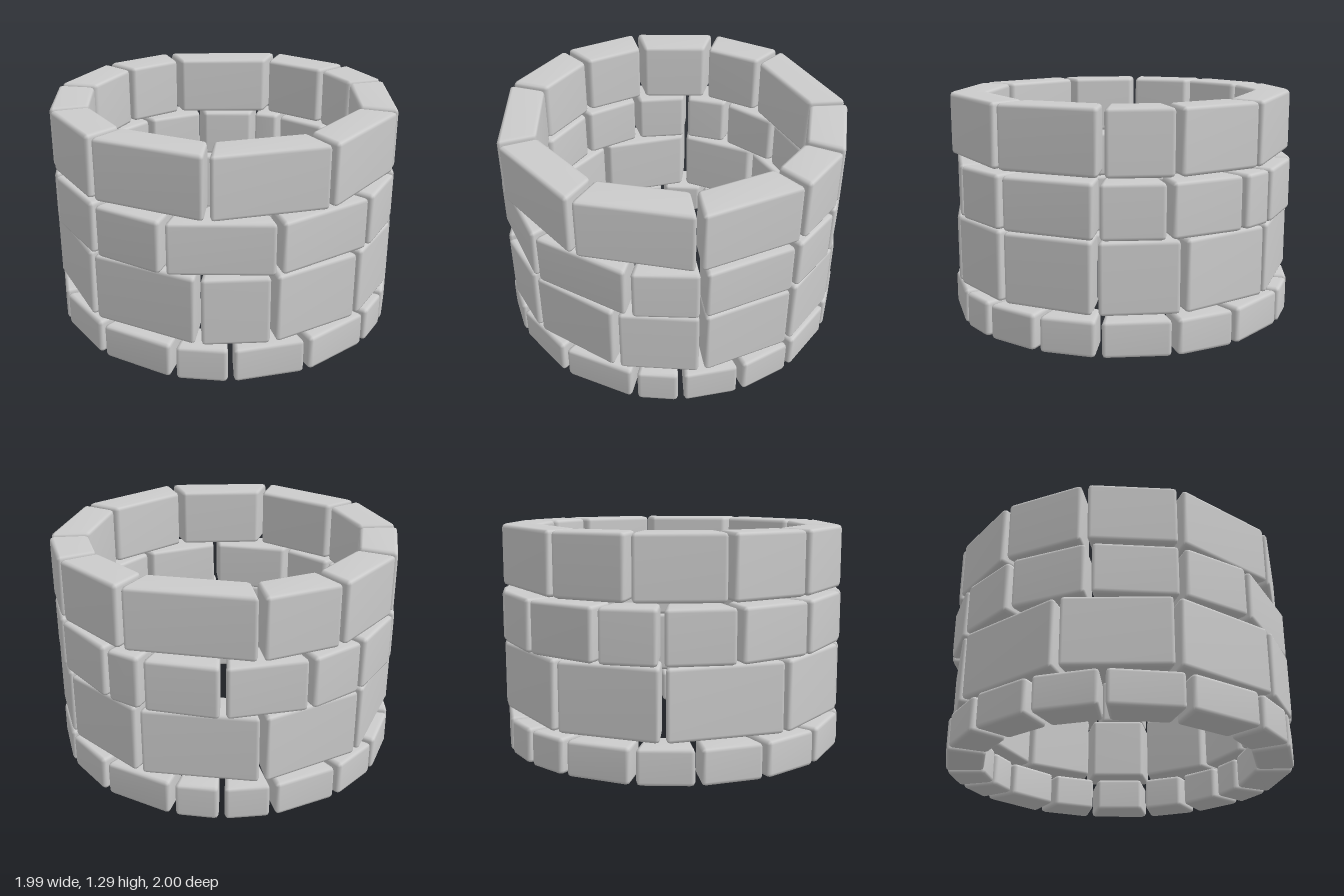
import * as THREE from 'three';
import { RoundedBoxGeometry } from 'three/addons/geometries/RoundedBoxGeometry.js';
import { mergeVertices } from 'three/addons/utils/BufferGeometryUtils.js';

const OUTER = 1.005, INNER = 0.785, GAP = 0.032, BEVEL = 0.022;

// Courses of stones: height range and the joint angles (degrees, from +x towards +z)
const COURSES = [
  { name: 'baseCourse', y0: 0, y1: 0.2,
    joints: [-341, -321.5, -306.5, -281, -256.5, -238.5, -212, -187, -165, -143.5, -124, -101, -85, -69.5, -44.5, -23.5, -0.5] },
  { name: 'tallCourse', y0: 0.225, y1: 0.617,
    joints: [-328, -301, -269.5, -246.5, -209, -173, -133, -97.5, -58.5, -26, 0.5] },
  { name: 'middleCourse', y0: 0.619, y1: 0.915,
    joints: [-328, -305.5, -271, -236, -211, -182.5, -156, -132.5, -112.5, -85.5, -60.5, -47.5, -21.5, 0] },
  { name: 'topCourse', y0: 0.937, y1: 1.287,
    joints: [-326.5, -288, -249.5, -211, -181, -153, -123, -96.5, -54, -24, -1.5] },
];

// Bevelled wedge: flat inner and outer faces, ends parallel to the radial joints
function stoneGeometry(half, height) {
  const near = INNER * Math.cos(half), far = OUTER * Math.cos(half);
  const mid = (near + far) / 2;
  const widthAt = (r) => 2 * r * Math.tan(half) - GAP;
  const box = new RoundedBoxGeometry(widthAt(mid), height, far - near, 1, BEVEL);
  box.translate(0, 0, mid);
  const p = box.attributes.position;
  for (let i = 0; i < p.count; i++) {
    p.setX(i, p.getX(i) * widthAt(p.getZ(i)) / widthAt(mid));
  }
  box.deleteAttribute('normal');
  box.deleteAttribute('uv');
  const geometry = mergeVertices(box);
  geometry.computeVertexNormals();
  return geometry;
}

export function createModel() {
  const model = new THREE.Group();
  model.name = 'stoneRingWall';
  const material = new THREE.MeshStandardMaterial({ color: 0xcccccc });

  for (const { name, y0, y1, joints } of COURSES) {
    const course = new THREE.Group();
    course.name = name;
    joints.forEach((start, i) => {
      // The last stone closes the ring
      const end = i + 1 < joints.length ? joints[i + 1] : joints[0] + 360;
      const half = THREE.MathUtils.degToRad((end - start) / 2);
      const stone = new THREE.Mesh(stoneGeometry(half, y1 - y0), material);
      stone.name = 'stone';
      stone.position.y = (y0 + y1) / 2;
      stone.rotation.y = Math.PI / 2 - THREE.MathUtils.degToRad((start + end) / 2);
      course.add(stone);
    });
    model.add(course);
  }
  return model;
}
